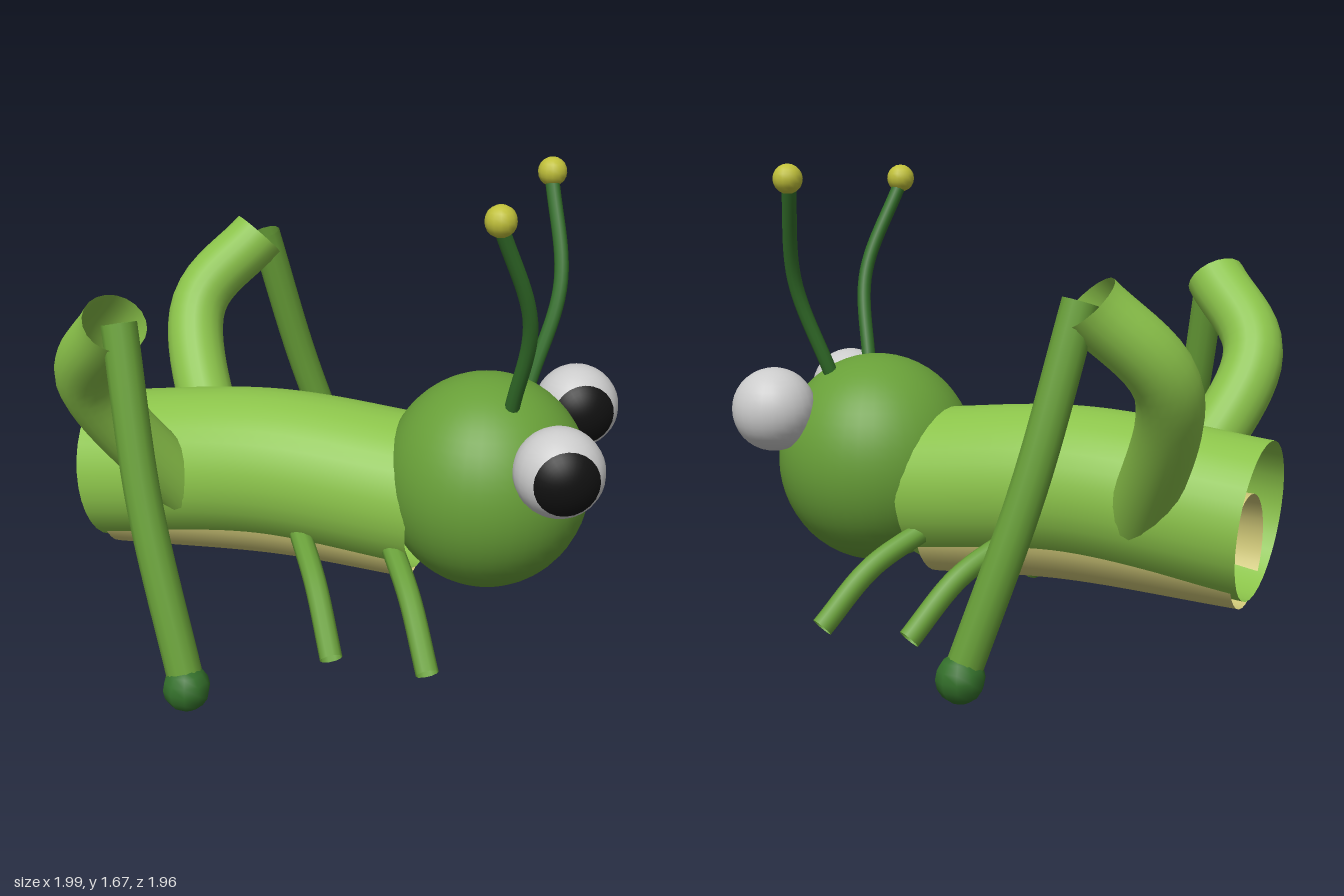
import * as THREE from 'three';

const mat = (color) => new THREE.MeshStandardMaterial({ color, side: THREE.DoubleSide });

export function createModel() {
  const model = new THREE.Group();
  const light = mat(0x8bc34a), green = mat(0x689f38), dark = mat(0x336f2a);
  const cream = mat(0xd0c878), yellow = mat(0xc0c03a), white = mat(0xcccccc), black = mat(0x111111);

  const add = (name, geometry, material, pos = [0, 0, 0], parent = model) => {
    const mesh = new THREE.Mesh(geometry, material);
    mesh.name = name;
    mesh.position.set(...pos);
    parent.add(mesh);
    return mesh;
  };

  // Open-ended tube through a few points; side = -1 mirrors it across z
  const tube = (name, points, radius, material, sides, side = 1) => {
    const curve = new THREE.CatmullRomCurve3(points.map(([x, y, z]) => new THREE.Vector3(x, y, z * side)));
    return add(name, new THREE.TubeGeometry(curve, 24, radius, sides, false), material);
  };

  // Body and belly
  tube('body', [[-0.965, 0.465, 0], [-0.3, 0.54, 0], [0.3, 0.5, 0]], 0.28, light, 32);
  tube('belly', [[-0.92, 0.355, 0], [-0.25, 0.392, 0], [0.26, 0.37, 0]], 0.2, cream, 32);

  // Head
  add('head', new THREE.SphereGeometry(1, 40, 28), green, [0.52, 0.58, 0]).scale.set(0.37, 0.39, 0.37);

  // Eyes, both looking the same way
  const eye = (name, pos) => {
    const group = new THREE.Group();
    group.name = name;
    group.position.set(...pos);
    add('eyeball', new THREE.SphereGeometry(0.153, 24, 18), white, [0, 0, 0], group);
    const cap = new THREE.SphereGeometry(0.155, 24, 8, 0, Math.PI * 2, 0, 0.8);
    cap.rotateX(Math.PI / 2).rotateY(0.43);
    add('pupil', cap, black, [0, 0, 0], group);
    model.add(group);
  };
  eye('leftEye', [0.845, 0.785, 0.365]);
  eye('rightEye', [0.78, 0.785, -0.305]);

  for (const side of [1, -1]) {
    const label = side > 0 ? 'left' : 'right';

    // Jumping leg: thick thigh, thin shin, round foot
    tube(label + 'Thigh', [[-0.55, 0.4, 0.12], [-0.79, 0.98, 0.49], [-0.59, 1.245, 0.66]], 0.11, light, 20, side);
    tube(label + 'Shin', [[-0.57, 1.25, 0.67], [-0.45, 0.68, 0.79], [-0.27, 0.09, 0.9]], 0.06, green, 12, side);
    add(label + 'Foot', new THREE.SphereGeometry(0.08, 10, 8), dark, [-0.27, 0.085, 0.905 * side]);

    // Small walking legs
    [0, 0.345].forEach((dx, i) => {
      const points = [[-0.13, 0.37, 0.18], [0, 0.25, 0.37], [0.11, 0.06, 0.53]];
      tube(label + (i ? 'FrontLeg' : 'MiddleLeg'), points.map(([x, y, z]) => [x + dx, y, z]), 0.04, green, 10, side);
    });

    // Antenna with a round tip
    tube(label + 'Antenna', [[0.635, 0.91, 0.145], [0.71, 1.25, 0.26], [0.635, 1.6, 0.41]], 0.026, dark, 10, side);
    add(label + 'AntennaTip', new THREE.SphereGeometry(0.053, 14, 10), yellow, [0.635, 1.62, 0.415 * side]);
  }
  return model;
}
